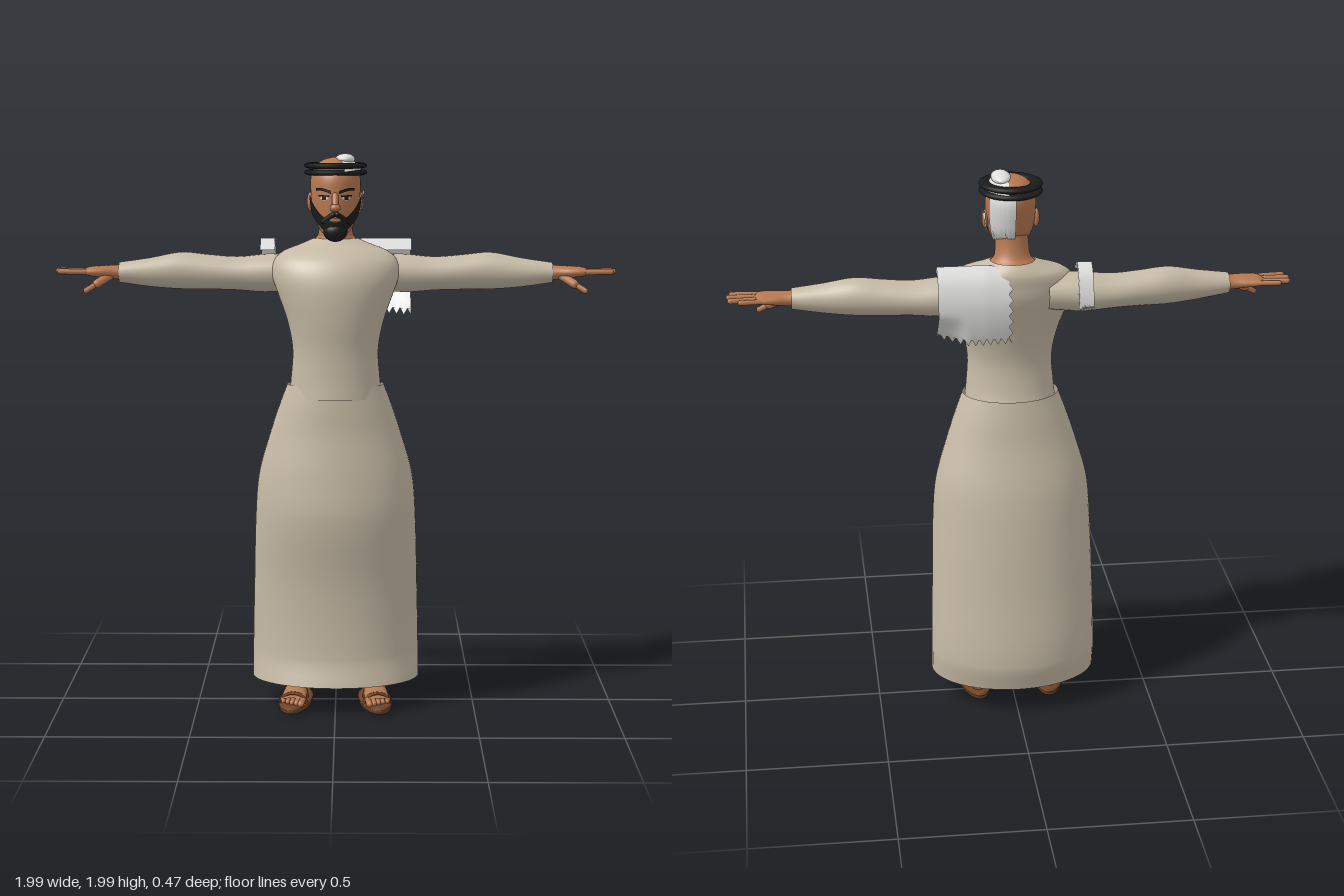
import * as THREE from 'three';

const mat = (name, color, double) => {
  const m = new THREE.MeshStandardMaterial({ color });
  m.name = name;
  if (double) m.side = THREE.DoubleSide;
  return m;
};

// Smooth (Hermite) value of a section list [t, centreU, radiusU, centreV, radiusV] at t
function sample(S, t) {
  let i = 0;
  while (i < S.length - 2 && t > S[i + 1][0]) i++;
  const a = S[i], b = S[i + 1], p = S[Math.max(i - 1, 0)], q = S[Math.min(i + 2, S.length - 1)];
  const h = b[0] - a[0], s = (t - a[0]) / h, s2 = s * s, s3 = s2 * s;
  return a.map((v, k) => {
    const ma = (b[k] - p[k]) / (b[0] - p[0]) * h, mb = (q[k] - v) / (q[0] - a[0]) * h;
    const r = (2 * s3 - 3 * s2 + 1) * v + (s3 - 2 * s2 + s) * ma + (3 * s2 - 2 * s3) * b[k] + (s3 - s2) * mb;
    return k === 2 || k === 4 ? Math.max(r, 0.0005) : r;
  });
}

// Grid of points fn(row, column) -> [x, y, z]; optionally closed along the columns
function grid(rows, cols, closed, fn) {
  const pos = [], idx = [];
  const w = closed ? cols : cols + 1;
  for (let r = 0; r <= rows; r++) for (let c = 0; c < w; c++) pos.push(...fn(r, c));
  for (let r = 0; r < rows; r++) for (let c = 0; c < cols; c++) {
    const d = (c + 1) % w, a = r * w + c, b = r * w + d, e = a + w, f = b + w;
    idx.push(a, e, b, b, e, f);
  }
  const g = new THREE.BufferGeometry();
  g.setAttribute('position', new THREE.Float32BufferAttribute(pos, 3));
  g.setIndex(idx);
  g.computeVertexNormals();
  return g;
}

// Elliptical loft along an axis
function loft(axis, S, sides = 32, steps = 5) {
  const rows = (S.length - 1) * steps;
  return grid(rows, sides, true, (r, c) => {
    const i = Math.min(Math.floor(r / steps), S.length - 2);
    const t = S[i][0] + (S[i + 1][0] - S[i][0]) * (r / steps - i);
    const k = sample(S, t), th = c / sides * Math.PI * 2;
    const u = k[1] + k[2] * Math.cos(th), v = k[3] + k[4] * Math.sin(th);
    return axis === 'y' ? [u, t, v] : axis === 'x' ? [t, v, u] : [v, u, t];
  });
}

// Thin patch lying on a vertical loft; angle 0 is the front, growing towards +x
function patch(S, th0, th1, lo, hi, off, cols = 24, rows = 8) {
  const val = (f, th, c) => (typeof f === 'function' ? f(th, c) : f);
  return grid(cols, rows, false, (c, r) => {
    const th = th0 + (th1 - th0) * c / cols;
    const y0 = val(lo, th, c), y1 = val(hi, th, c), y = y0 + (y1 - y0) * r / rows;
    const k = sample(S, y);
    return [k[1] + (k[2] + off) * Math.sin(th), y, k[3] + (k[4] + off) * Math.cos(th)];
  });
}

function limb(a, b, r) {
  const A = new THREE.Vector3(...a), B = new THREE.Vector3(...b), d = B.clone().sub(A);
  const g = new THREE.CapsuleGeometry(r, d.length(), 4, 10);
  g.applyQuaternion(new THREE.Quaternion().setFromUnitVectors(new THREE.Vector3(0, 1, 0), d.normalize()));
  return g.translate(...A.add(B).multiplyScalar(0.5).toArray());
}

const ball = (x, y, z, rx, ry, rz) => new THREE.SphereGeometry(1, 20, 14).scale(rx, ry, rz).translate(x, y, z);

function mirror(geo) {
  const g = geo.clone().scale(-1, 1, 1), a = g.index.array;
  for (let i = 0; i < a.length; i += 3) [a[i], a[i + 1]] = [a[i + 1], a[i]];
  return g;
}

export function createModel() {
  const model = new THREE.Group();
  const robe = mat('robe beige', 0xc6baa5, true), skin = mat('skin', 0xb67850, true);
  const cloth = mat('white cloth', 0xdededc, true), black = mat('black', 0x1b1b1c, true);
  const leather = mat('sandal brown', 0x704529), eyeWhite = mat('eye white', 0xd8d0c8, true);
  const add = (name, geo, m) => {
    const mesh = new THREE.Mesh(geo, m);
    mesh.name = name;
    model.add(mesh);
  };
  const pair = (name, geo, m) => {
    add(name + 'Left', geo, m);
    add(name + 'Right', mirror(geo), m);
  };

  // Skirt, open at the hem
  add('skirt', loft('y', [
    [0.1, 0, 0.302, 0.01, 0.22], [0.2, 0, 0.302, -0.013, 0.217], [0.45, 0, 0.296, 0.002, 0.202],
    [0.7, 0, 0.288, 0.033, 0.203], [0.85, 0, 0.275, 0.04, 0.185], [1, 0, 0.233, 0.05, 0.155],
    [1.1, 0, 0.2, 0.057, 0.143], [1.175, 0, 0.172, 0.062, 0.133]], 48), robe);

  // Upper robe and sleeves
  add('bodice', loft('y', [
    [1.13, 0, 0.165, 0.072, 0.133], [1.2, 0, 0.158, 0.08, 0.12], [1.3, 0, 0.152, 0.085, 0.115],
    [1.4, 0, 0.17, 0.08, 0.13], [1.5, 0, 0.205, 0.065, 0.148], [1.56, 0, 0.225, 0.05, 0.153],
    [1.61, 0, 0.22, 0.035, 0.142], [1.645, 0, 0.185, 0.015, 0.122], [1.668, 0, 0.125, -0.003, 0.095],
    [1.688, 0, 0.078, -0.012, 0.07]], 48), robe);
  pair('sleeve', loft('x', [
    [0.12, -0.01, 0.085, 1.57, 0.065], [0.25, -0.015, 0.085, 1.563, 0.068], [0.35, -0.015, 0.078, 1.562, 0.06],
    [0.45, -0.012, 0.072, 1.567, 0.062], [0.55, -0.008, 0.066, 1.572, 0.066], [0.66, 0.003, 0.055, 1.567, 0.052],
    [0.77, 0.01, 0.045, 1.567, 0.036]], 28), robe);

  // Hands
  pair('palm', loft('x', [
    [0.74, 0.01, 0.036, 1.567, 0.028], [0.79, 0.015, 0.04, 1.568, 0.025], [0.84, 0.018, 0.052, 1.57, 0.021],
    [0.88, 0.017, 0.052, 1.571, 0.016], [0.9, 0.015, 0.03, 1.571, 0.005]], 20), skin);
  [[-0.026, 0.945, -0.036, 0.009], [0.002, 0.98, -0.014, 0.01], [0.03, 0.985, 0.026, 0.01], [0.056, 0.975, 0.06, 0.01]]
    .forEach(([z0, x1, z1, r], i) => pair('finger' + (i + 1), limb([0.86, 1.571, z0], [x1, 1.573, z1], r), skin));
  pair('thumbBase', limb([0.8, 1.558, 0.035], [0.845, 1.53, 0.066], 0.016), skin);
  pair('thumb', limb([0.845, 1.53, 0.066], [0.882, 1.507, 0.082], 0.01), skin);

  // Neck and head
  add('neck', loft('y', [
    [1.63, 0, 0.09, -0.015, 0.08], [1.675, 0, 0.083, -0.012, 0.072], [1.7, 0, 0.064, -0.003, 0.058],
    [1.75, 0, 0.058, 0.012, 0.058], [1.82, 0, 0.055, 0.02, 0.06]]), skin);
  const head = [
    [1.695, 0, 0.012, 0.125, 0.015], [1.71, 0, 0.042, 0.11, 0.05], [1.74, 0, 0.063, 0.085, 0.082],
    [1.78, 0, 0.078, 0.064, 0.106], [1.82, 0, 0.085, 0.058, 0.113], [1.86, 0, 0.088, 0.053, 0.117],
    [1.9, 0, 0.088, 0.049, 0.117], [1.93, 0, 0.08, 0.046, 0.104], [1.955, 0, 0.06, 0.044, 0.077],
    [1.97, 0, 0.034, 0.043, 0.045], [1.976, 0, 0.001, 0.043, 0.001]];
  add('head', loft('y', head, 36), skin);
  pair('ear', ball(0.089, 1.82, 0.045, 0.012, 0.034, 0.02), skin);
  add('noseBridge', limb([0, 1.845, 0.168], [0, 1.81, 0.184], 0.011), skin);
  add('noseTip', ball(0, 1.803, 0.184, 0.019, 0.014, 0.018), skin);

  // Beard, moustache, lips, brows and eyes
  add('beard', patch(head, -1.3, 1.3,
    th => 1.7 + 0.08 * Math.pow(Math.abs(th) / 1.3, 2),
    th => 1.752 + 0.1 * Math.pow(Math.abs(th) / 1.3, 1.8), 0.008, 36, 10), black);
  add('chinTuft', ball(0, 1.719, 0.143, 0.042, 0.036, 0.036), black);
  pair('moustache', limb([0.007, 1.779, 0.174], [0.042, 1.755, 0.155], 0.009), black);
  add('lips', patch(head, -0.25, 0.25, 1.756, 1.768, 0.006, 8, 2), skin);
  pair('brow', patch(head, 0.15, 0.8, th => 1.85 + 0.012 * Math.sin((th - 0.15) * 3.2),
    th => 1.861 + 0.01 * Math.sin((th - 0.15) * 3.2), 0.005, 10, 2), black);
  const lid = th => 0.008 * Math.sin((th - 0.25) / 0.4 * Math.PI);
  pair('eye', patch(head, 0.25, 0.65, th => 1.836 - lid(th), th => 1.836 + lid(th), 0.003, 10, 2), eyeWhite);
  pair('iris', patch(head, 0.36, 0.53, 1.829, 1.843, 0.005, 4, 2), black);
  pair('lashes', patch(head, 0.22, 0.68, 1.841, 1.846, 0.005, 8, 1), black);

  // Double head cord
  [1.922, 1.946].forEach((y, i) => add('headCord' + (i + 1),
    new THREE.TorusGeometry(0.089, 0.022, 12, 48).rotateX(Math.PI / 2).scale(1, 0.48, 1.12).translate(0, y, 0.043), black));

  // Ragged remains of the head cloth on the left side
  const jag = (y, a) => (th, c) => y + (c % 2 ? a : -a) + a * Math.sin(c * 2.3);
  add('clothCrown', patch(head, 0.35, 2.95, 1.925, jag(1.967, 0.003), 0.013, 22), cloth);
  add('clothTopFold', ball(0.034, 1.968, 0.045, 0.035, 0.02, 0.07), cloth);
  add('clothBack', patch(head, 2.15, 3.2, jag(1.745, 0.01), 1.93, 0.01, 14), cloth);
  add('clothCheek', patch(head, 1.25, 1.95, jag(1.775, 0.01), jag(1.855, 0.01), 0.012, 12), cloth);

  // Ragged shawl pieces hanging behind the shoulders
  const fall = new THREE.CatmullRomCurve3([[1.645, -0.01], [1.685, -0.06], [1.655, -0.105], [1.58, -0.135], [1.5, -0.135], [1.41, -0.115]]
    .map(([y, z]) => new THREE.Vector3(0, y, z)));
  const shawl = (x0, x1, drop) => grid(20, 20, false, (r, c) => {
    const v = r / 20, u = c / 20, p = fall.getPoint(v * drop);
    const x = x0 + (x1 - x0) * u;
    const wrap = Math.max(0, (x - 0.17) / 0.1) * Math.max(0, (1.52 - p.y) / 0.1);
    const edge = c === 0 ? (r % 2) * 0.018 : 0;
    const hem = r === 20 ? (c % 2) * 0.025 : 0;
    const inner = Math.max(0, 0.1 - x) / 0.1;
    return [x + edge, p.y + hem - 0.015 * inner * (1 - v), p.z + 0.09 * Math.min(wrap, 1.1) + 0.012 * inner * v];
  });
  add('shawlLeft', shawl(0.01, 0.27, 1), cloth);
  add('shawlRight', mirror(shawl(0.215, 0.27, 0.72)), cloth);

  // Feet in sandals
  const turn = g => g.translate(0, 0, -0.05).rotateY(0.1).translate(0.142, 0, 0.05);
  pair('sole', turn(loft('y', [
    [0, 0, 0.001, 0.068, 0.001], [0.002, 0, 0.048, 0.068, 0.15], [0.015, 0, 0.056, 0.068, 0.158],
    [0.028, 0, 0.052, 0.068, 0.153], [0.03, 0, 0.001, 0.068, 0.001]], 28, 2)), leather);
  pair('foot', turn(loft('z', [
    [-0.075, 0.045, 0.002, 0, 0.002], [-0.06, 0.05, 0.027, 0, 0.027], [-0.01, 0.06, 0.042, 0, 0.036],
    [0.06, 0.052, 0.036, 0, 0.04], [0.13, 0.04, 0.02, 0, 0.045], [0.17, 0.036, 0.013, 0, 0.045]], 20)), skin);
  for (let i = 0; i < 5; i++) {
    const x = -0.034 + i * 0.017;
    pair('toe' + (i + 1), turn(limb([x, 0.037, 0.15], [x, 0.035, 0.198 - i * 0.009], 0.0115 - i * 0.0008)), skin);
  }
  pair('ankle', turn(loft('y', [
    [0.05, 0, 0.036, -0.025, 0.042], [0.09, 0, 0.035, -0.022, 0.04], [0.15, 0, 0.038, -0.02, 0.042]], 20)), skin);
  const strap = (z, rx, ry) => turn(new THREE.TorusGeometry(1, 0.12, 8, 24, Math.PI).scale(rx, ry, 0.13).translate(0, 0.022, z));
  pair('toeStrap', strap(0.14, 0.047, 0.037), leather);
  pair('instepStrap', strap(0.07, 0.042, 0.064), leather);
  pair('heelStrap', turn(new THREE.TorusGeometry(0.042, 0.006, 8, 28).rotateX(Math.PI / 2).translate(0, 0.085, -0.022)), leather);

  return model;
}
